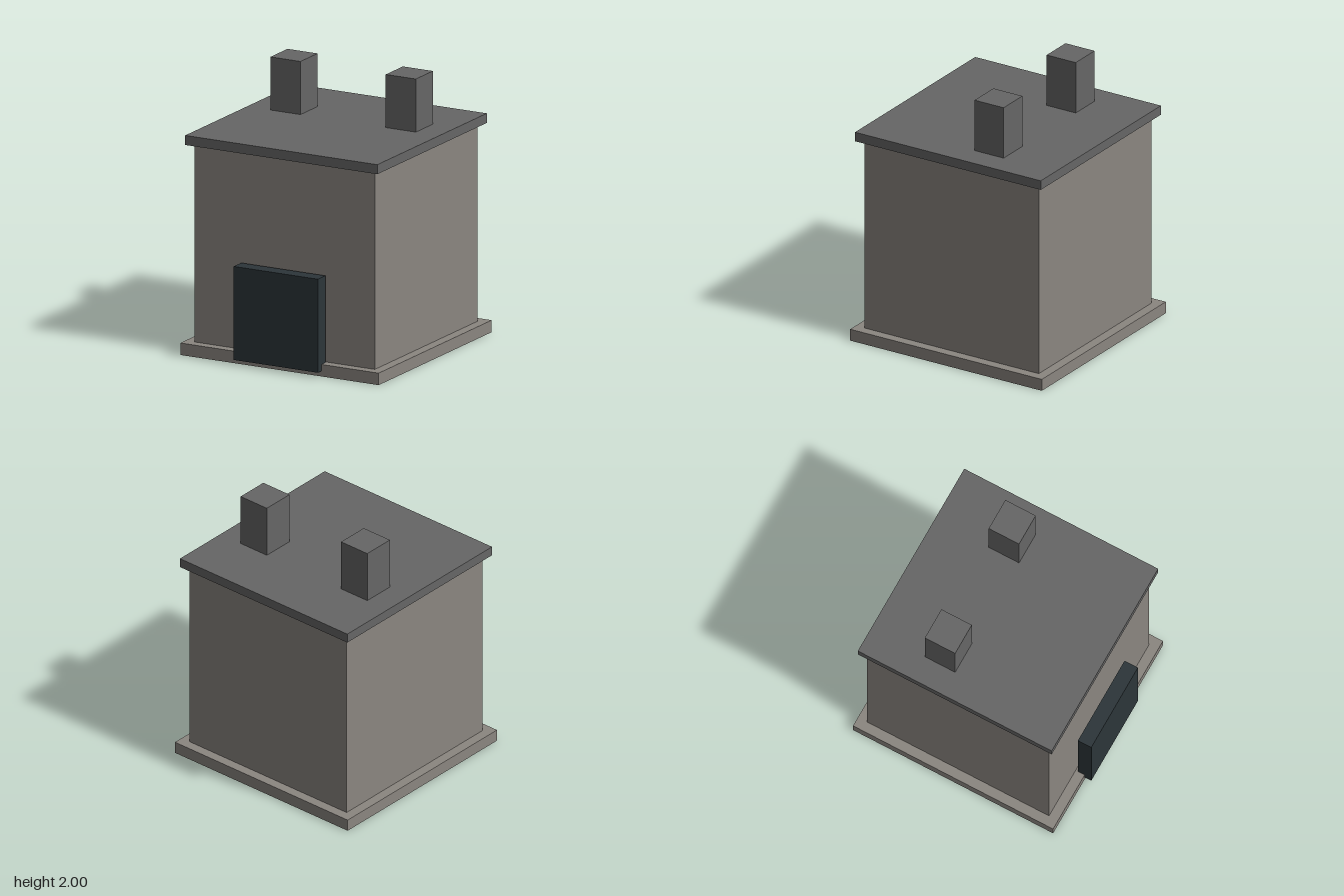
import * as THREE from 'three';

export function createModel() {
  const group = new THREE.Group();
  group.name = 'building';

  const material = (name, color) => {
    const m = new THREE.MeshStandardMaterial({ color });
    m.name = name;
    return m;
  };
  const stone = material('warm grey stone', 0x8b8680);
  const slate = material('dark grey roof', 0x666666);
  const steel = material('blue black door', 0x2c3539);

  // Box standing on y0 and reaching y1, centred on x and z
  const block = (name, mat, w, d, y0, y1, x, z) => {
    const mesh = new THREE.Mesh(new THREE.BoxGeometry(w, y1 - y0, d), mat);
    mesh.name = name;
    mesh.position.set(x, (y0 + y1) / 2, z);
    group.add(mesh);
  };

  const zc = -0.026; // body sits slightly back to leave room for the door

  block('plinth', stone, 1.616, 1.616, 0, 0.088, 0, zc);
  block('walls', stone, 1.47, 1.47, 0.088, 1.54, 0, zc);
  block('roofSlab', slate, 1.566, 1.566, 1.54, 1.61, 0, zc);

  // Door stands just in front of the wall
  block('door', steel, 0.686, 0.108, 0.04, 0.727, 0, 0.781);

  // Mirrored pair of chimneys
  for (const [side, name] of [[1, 'leftChimney'], [-1, 'rightChimney']]) {
    block(name, slate, 0.245, 0.245, 1.61, 2, side * 0.47, -0.25);
  }

  return group;
}
